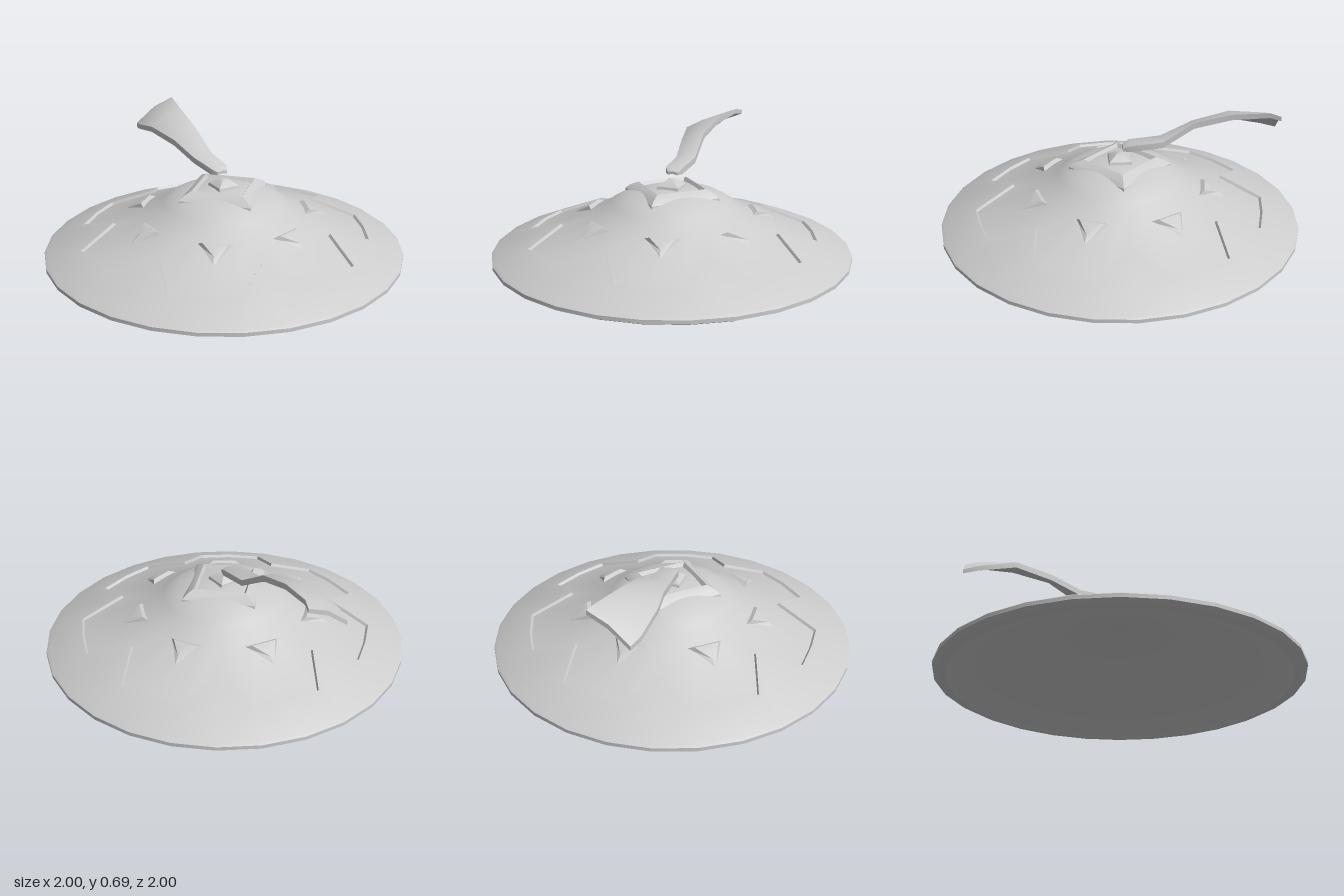
import * as THREE from 'three';
import { toCreasedNormals } from 'three/addons/utils/BufferGeometryUtils.js';

const strawGrey = new THREE.MeshStandardMaterial({ color: 0xcccccc });
const DEG = Math.PI / 180;

// Skin between closed rows of points; rows run towards the viewer's inside, columns wrap
function loft(name, rows, crease) {
  const pos = [];
  const tri = (a, b, c) => {
    const n = b.clone().sub(a).cross(c.clone().sub(a));
    if (n.length() > 1e-9) for (const p of [a, b, c]) pos.push(p.x, p.y, p.z);
  };
  for (let i = 0; i < rows.length - 1; i++) {
    const r = rows[i], s = rows[i + 1], n = r.length;
    for (let j = 0; j < n; j++) {
      const k = (j + 1) % n;
      tri(r[j], s[j], r[k]);
      tri(r[k], s[j], s[k]);
    }
  }
  let g = new THREE.BufferGeometry();
  g.setAttribute('position', new THREE.Float32BufferAttribute(pos, 3));
  g = toCreasedNormals(g, crease);
  const mesh = new THREE.Mesh(g, strawGrey);
  mesh.name = name;
  return mesh;
}

const polar = (r, deg, y) => new THREE.Vector3(r * Math.cos(deg * DEG), y, r * Math.sin(deg * DEG));
// Height of the recessed cone and of the raised brim
const coneY = r => 0.28 - 0.405 * (r - 0.39);
const brimY = r => 0.05 + 0.405 * (1 - r);

// Ring of n points at radius r
const ring = (r, y, n, start) =>
  Array.from({ length: n }, (_, j) => polar(r, start + j * 360 / n, y));

function hatShell() {
  const n = 28, start = 153;
  const tooth = [0.6, 0.795, 0.785, 0.795];
  const edge = (offset, height) => Array.from({ length: n }, (_, j) => {
    const r = tooth[j % 4] + offset;
    return polar(r, start + j * 360 / n, height(r));
  });
  const circle = ([r, y]) => ring(r, y, n, start);
  // underside, rim
  const under = [[0, 0.33], [0.22, 0.31], [0.38, 0.245], [0.65, 0.13], [0.9, 0.025], [0.93, 0.002],
    [0.96, 0.005], [1, 0.025], [1, 0.045], [0.985, 0.056]].map(circle);
  // crown dome
  const dome = [[0.39, 0.28], [0.34, 0.32], [0.27, 0.36], [0.18, 0.39], [0, 0.408]].map(circle);
  return loft('hatShell', [...under, edge(0.012, brimY), edge(0, coneY), ...dome], 0.45);
}

// Raised triangular studs around the crown
function stud(angle) {
  const base = [polar(0.595, angle, coneY(0.595) - 0.006), polar(0.45, angle + 13, coneY(0.45) - 0.006),
    polar(0.45, angle - 13, coneY(0.45) - 0.006)];
  const top = [polar(0.55, angle, coneY(0.55) + 0.014), polar(0.475, angle + 8, coneY(0.475) + 0.021),
    polar(0.475, angle - 8, coneY(0.475) + 0.021)];
  const mid = polar(0.495, angle, coneY(0.495) + 0.022);
  return loft('triangleStud', [base, top, [mid, mid, mid]], 0.5);
}

// Curved plume floating above the crown: z, left x/y, right x/y, half thickness
function plume() {
  const stations = [
    [-0.015, -0.03, 0.475, 0.03, 0.475, 0.008],
    [-0.05, -0.055, 0.482, 0.045, 0.485, 0.017],
    [-0.23, -0.065, 0.495, 0.05, 0.505, 0.017],
    [-0.4, -0.1, 0.555, 0.04, 0.61, 0.017],
    [-0.6, -0.145, 0.588, 0.055, 0.66, 0.016],
    [-0.8, -0.135, 0.55, 0.095, 0.682, 0.014],
    [-0.88, -0.11, 0.535, 0.12, 0.672, 0.012],
  ];
  const rows = stations.map(([z, lx, ly, rx, ry, t], i) => {
    const camber = 0.005 + 0.003 * i;
    const at = (f, side) => new THREE.Vector3(
      lx + (rx - lx) * f,
      ly + (ry - ly) * f + camber * 4 * f * (1 - f) + side * t,
      z + (i === 6 ? 0.025 * f : 0));
    return [at(1, 1), at(0.5, 1), at(0, 1), at(0, -1), at(0.5, -1), at(1, -1)];
  });
  const cap = row => {
    const c = new THREE.Vector3();
    row.forEach(p => c.addScaledVector(p, 1 / row.length));
    return row.map(() => c);
  };
  return loft('plume', [cap(rows[0]), ...rows, cap(rows[6])], 0.7);
}

export function createModel() {
  const hat = new THREE.Group();
  hat.name = 'hat';
  hat.add(hatShell());

  const studs = new THREE.Group();
  studs.name = 'triangleStuds';
  for (let i = 0; i < 7; i++) studs.add(stud(176.5 + i * 360 / 7));
  hat.add(studs);

  // diamond frame on the crown
  const frame = [[0.285, 0.34], [0.28, 0.368], [0.25, 0.392], [0.2, 0.412], [0.175, 0.385]]
    .map(([r, y]) => ring(r, y, 4, 0));
  hat.add(loft('diamondFrame', frame, 0.5));

  // small pointed knob at the centre
  const knob = [[0.092, 0.395], [0.085, 0.415], [0.03, 0.445], [0, 0.45]]
    .map(([r, y]) => ring(r, y, 4, 45));
  hat.add(loft('centreKnob', knob, 0.6));

  hat.add(plume());
  return hat;
}
